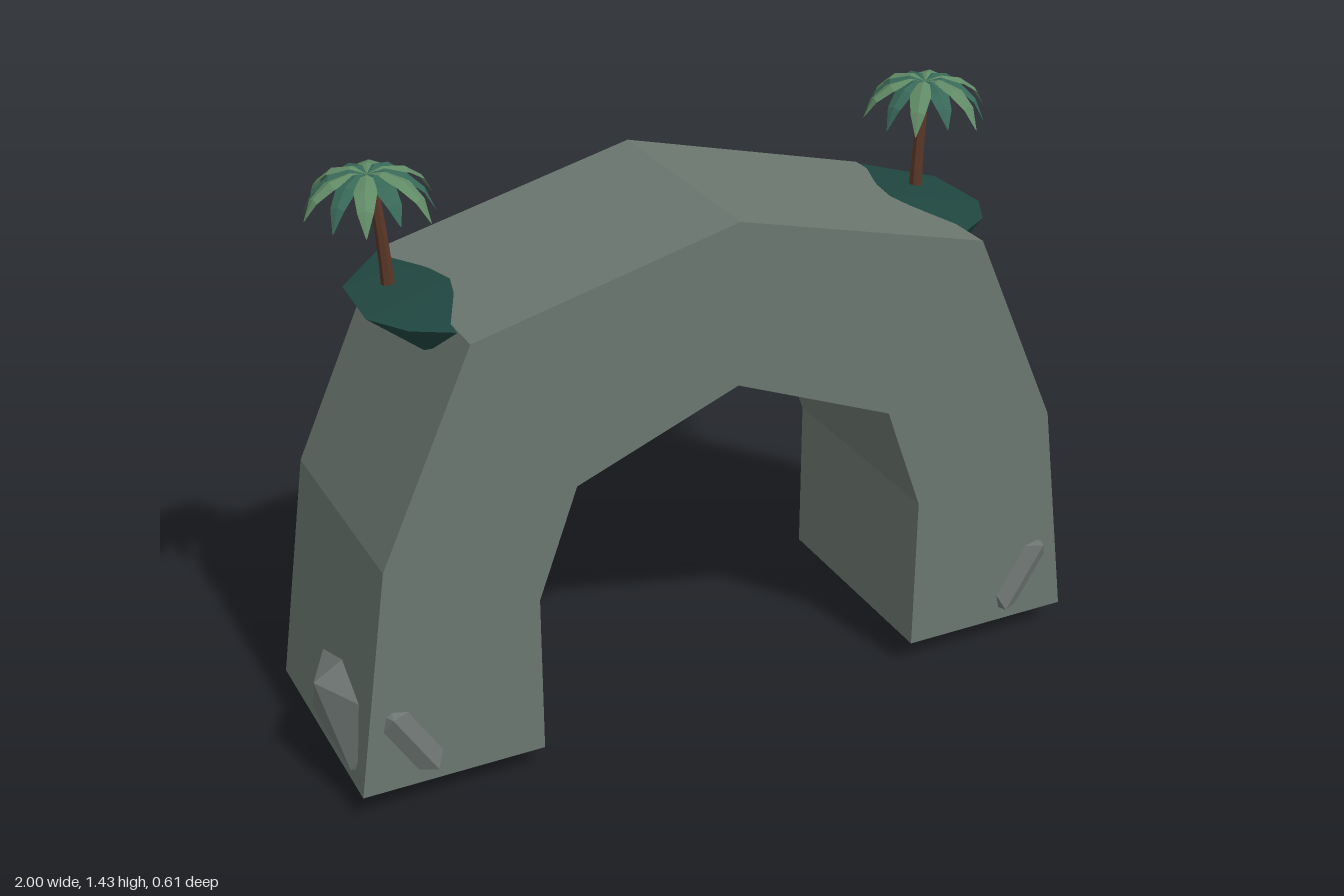
import * as THREE from 'three';
import { ConvexGeometry } from 'three/addons/geometries/ConvexGeometry.js';

const mat = (name, color, side = THREE.FrontSide) => {
  const m = new THREE.MeshStandardMaterial({ color, flatShading: true, side });
  m.name = name;
  return m;
};

export function createModel() {
  const stone = mat('stone', 0x6b7770);
  const rockGrey = mat('rock grey', 0x6d7572);
  const moss = mat('moss', 0x204640);
  const bark = mat('bark', 0x5a3728);
  const leafLight = mat('light leaf', 0x618a66, THREE.DoubleSide);
  const leafDark = mat('dark leaf', 0x386858, THREE.DoubleSide);

  const root = new THREE.Group();
  const add = (parent, name, geometry, material) => {
    const m = new THREE.Mesh(geometry, material);
    m.name = name;
    parent.add(m);
    return m;
  };

  // Faceted stone arch: half outline from the inner foot round to the outer foot, mirrored
  const inner = [[0.51, 0.07], [0.51, 0.48], [0.41, 0.755]];
  const outer = [[0.65, 1.16], [0.88, 0.65], [0.965, 0.07]];
  const flip = (pts) => pts.map(([x, y]) => [-x, y]).reverse();
  const outline = [...inner, [0, 0.92], ...flip(inner), ...flip(outer), [0, 1.325], ...outer];
  const archShape = new THREE.Shape(outline.map(([x, y]) => new THREE.Vector2(x, y)));
  const archGeo = new THREE.ExtrudeGeometry(archShape, { depth: 0.593, bevelEnabled: false });
  archGeo.translate(0, 0, -0.305);
  add(root, 'arch', archGeo, stone);

  // One drooping frond, folded along its raised midrib
  const frondGeometry = (angle, length, droop) => {
    // distance out, height, half width
    const sections = [[0, 0, 0.004], [0.04, 0.012, 0.02], [0.09, 0, 0.026], [0.13, -0.035, 0.018], [0.155, -0.09, 0.001]];
    const c = Math.cos(angle), s = Math.sin(angle);
    const pos = [], idx = [];
    sections.forEach(([d, h, w], i) => {
      for (const k of [-1, 0, 1]) {
        const r = d * length, y = h * droop - (k ? w * 0.35 : 0);
        pos.push(r * c - k * w * s, y, r * s + k * w * c);
      }
      if (i) {
        for (const k of [0, 1]) {
          const a = (i - 1) * 3 + k, b = a + 3;
          idx.push(a, a + 1, b, a + 1, b + 1, b);
        }
      }
    });
    const g = new THREE.BufferGeometry();
    g.setAttribute('position', new THREE.Float32BufferAttribute(pos, 3));
    g.setIndex(idx);
    const flat = g.toNonIndexed();
    flat.computeVertexNormals();
    return flat;
  };

  for (const s of [-1, 1]) {
    const side = s > 0 ? 'left' : 'right';

    // Boulder half buried in the foot of the arch
    const rock = add(root, side + 'Rock', new THREE.IcosahedronGeometry(0.186, 0), rockGrey);
    rock.geometry.rotateZ(-s * THREE.MathUtils.degToRad(31.5));
    rock.geometry.scale(1, 1, 1.44);
    rock.position.set(s * 0.835, 0.19, 0.08);

    // Mossy ledge on the shoulder
    const ledge = [
      [0.65, 1.157, -0.305], [0.69, 1.15, -0.27], [0.79, 1.15, -0.15], [0.8, 1.148, 0.04],
      [0.74, 1.152, 0.15], [0.65, 1.157, 0.215], [0.6, 1.172, 0.07], [0.578, 1.18, -0.02], [0.6, 1.172, -0.14],
      [0.64, 1.095, 0.14], [0.7, 1.09, 0.13], [0.755, 1.098, -0.04], [0.7, 1.08, 0.03],
      [0.7, 1.08, -0.18], [0.68, 1.11, -0.25], [0.62, 1.09, -0.05],
    ].map(([x, y, z]) => new THREE.Vector3(s * x, y, z));
    add(root, side + 'Ledge', new ConvexGeometry(ledge), moss);

    // Palm: bent tapering trunk, a nut and a ring of fronds
    const palm = new THREE.Group();
    palm.name = side + 'Palm';
    root.add(palm);
    const trunkGeo = new THREE.CylinderGeometry(0.012, 0.018, 0.36, 7, 5);
    const p = trunkGeo.attributes.position;
    for (let i = 0; i < p.count; i++) {
      const t = p.getY(i) / 0.36 + 0.5;
      p.setXYZ(i, p.getX(i) + s * (0.697 + 0.023 * t * t), 1.06 + 0.36 * t, p.getZ(i) - 0.093 - 0.012 * t);
    }
    trunkGeo.computeVertexNormals();
    add(palm, 'trunk', trunkGeo, bark);
    add(palm, 'nut', new THREE.IcosahedronGeometry(0.014, 0), bark).position.set(s * 0.708, 1.385, -0.11);

    const count = 12;
    for (let i = 0; i < count; i++) {
      const a = (i / count) * Math.PI * 2 + 0.15;
      const angle = s > 0 ? a : Math.PI - a;
      const frond = add(palm, 'frond', frondGeometry(angle, i % 2 ? 0.96 : 1.04, i % 3 ? 1 : 0.85), i % 2 ? leafDark : leafLight);
      frond.position.set(s * 0.725, 1.423, -0.115);
    }
  }
  return root;
}
